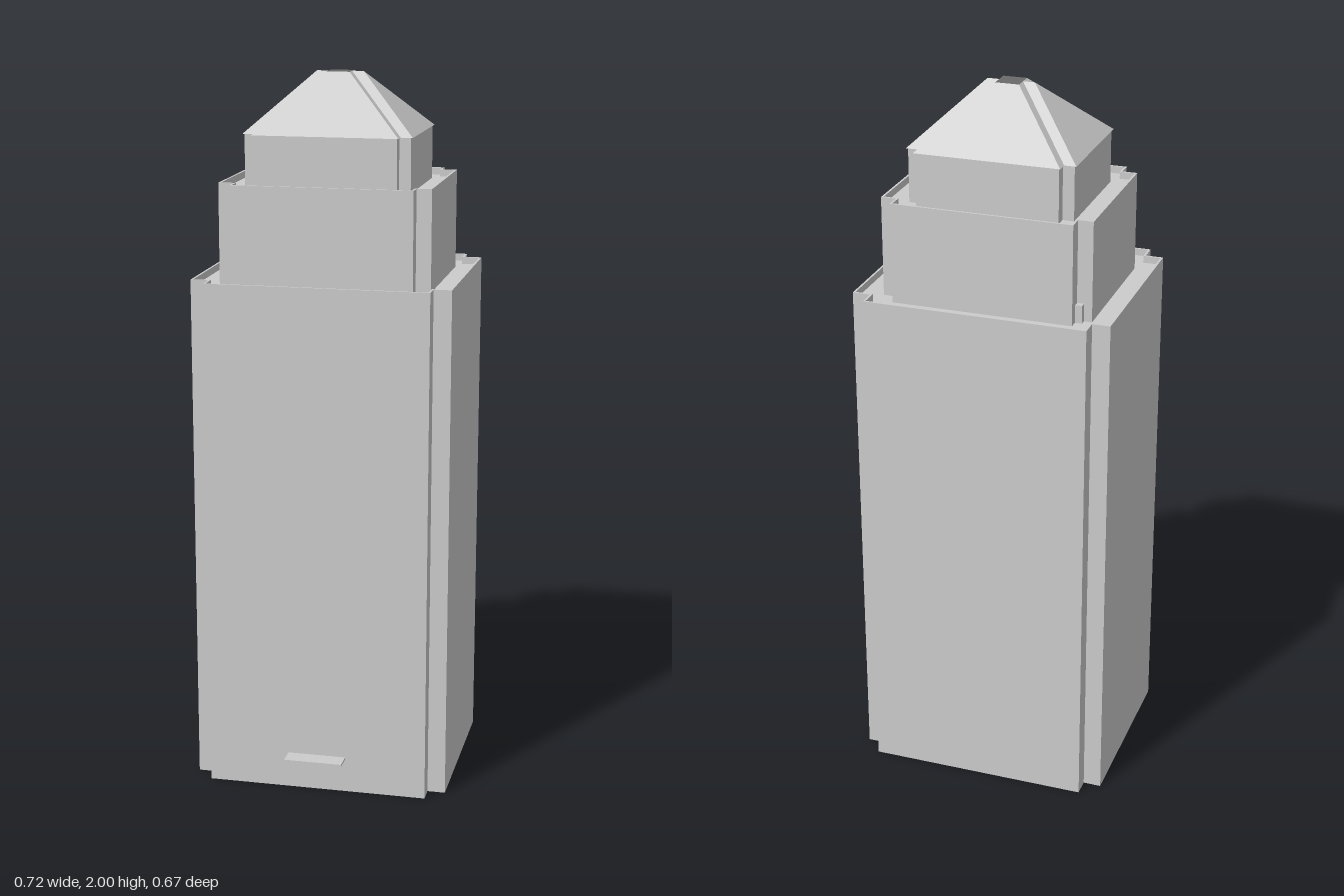
import * as THREE from 'three';

const CZ = -0.027; // the tower sits slightly behind the canopy
const RIM = 0.006;

// Rectangle with square notches cut from its corners: 12 points, counter-clockwise
function notched(hx, hz, nx, nz) {
  const quarter = [[hx, hz - nz], [hx - nx, hz - nz], [hx - nx, hz]];
  const mirrored = (sx, sz) => quarter.map(([x, z]) => new THREE.Vector2(sx * x, sz * z));
  return [
    ...mirrored(1, 1), ...mirrored(-1, 1).reverse(),
    ...mirrored(-1, -1), ...mirrored(1, -1).reverse(),
  ];
}

export function createModel() {
  const concrete = new THREE.MeshStandardMaterial({ color: 0xcccccc, side: THREE.DoubleSide });
  concrete.name = 'pale grey concrete';
  const group = new THREE.Group();
  group.name = 'steppedTower';

  const add = (name, geometry, x = 0, y = 0, z = 0) => {
    const mesh = new THREE.Mesh(geometry, concrete);
    mesh.name = name;
    mesh.position.set(x, y, z);
    group.add(mesh);
  };

  // Hollow notched walls, open at top and bottom
  const walls = (name, hx, hz, nx, nz, y0, y1) => {
    const shape = new THREE.Shape(notched(hx, hz, nx, nz));
    shape.holes.push(new THREE.Path(notched(hx - RIM, hz - RIM, nx, nz).reverse()));
    const geometry = new THREE.ExtrudeGeometry(shape, { depth: y1 - y0, bevelEnabled: false });
    add(name, geometry.rotateX(-Math.PI / 2), 0, y0, CZ);
  };

  // Flat roof terrace set below the parapet
  const terrace = (name, hx, hz, nx, nz, y) => {
    const shape = new THREE.Shape(notched(hx - RIM / 2, hz - RIM / 2, nx, nz));
    add(name, new THREE.ShapeGeometry(shape).rotateX(-Math.PI / 2), 0, y, CZ);
  };

  // Three stepped tiers
  walls('lowerWalls', 0.362, 0.311, 0.05, 0.05, 0, 1.45);
  terrace('lowerTerrace', 0.362, 0.311, 0.05, 0.05, 1.43);
  walls('middleWalls', 0.295, 0.247, 0.042, 0.042, 1.43, 1.71);
  terrace('middleTerrace', 0.295, 0.247, 0.042, 0.042, 1.69);
  walls('upperWalls', 0.23, 0.198, 0.032, 0.032, 1.69, 1.84);

  // Hipped roof: notched eaves drawn in evenly to a small open top
  const eaves = notched(0.235, 0.202, 0.033, 0.033);
  const inset = 0.169;
  const top = eaves.map(p => new THREE.Vector2(
    p.x - Math.sign(p.x) * inset, p.y - Math.sign(p.y) * inset));
  const positions = [];
  eaves.forEach((a, i) => {
    const j = (i + 1) % eaves.length;
    const low = p => [p.x, 1.84, -p.y];
    const high = p => [p.x, 2, -p.y];
    positions.push(...low(a), ...low(eaves[j]), ...high(top[j]));
    positions.push(...low(a), ...high(top[j]), ...high(top[i]));
  });
  const roof = new THREE.BufferGeometry();
  roof.setAttribute('position', new THREE.Float32BufferAttribute(positions, 3));
  roof.computeVertexNormals();
  add('hippedRoof', roof, 0, 0, CZ);

  // Entrance canopy and small terrace post
  add('entranceCanopy', new THREE.BoxGeometry(0.165, 0.006, 0.054), 0, 0.1, 0.309);
  add('terracePost', new THREE.BoxGeometry(0.019, 0.05, 0.018), -0.263, 1.455, -0.24);

  return group;
}
